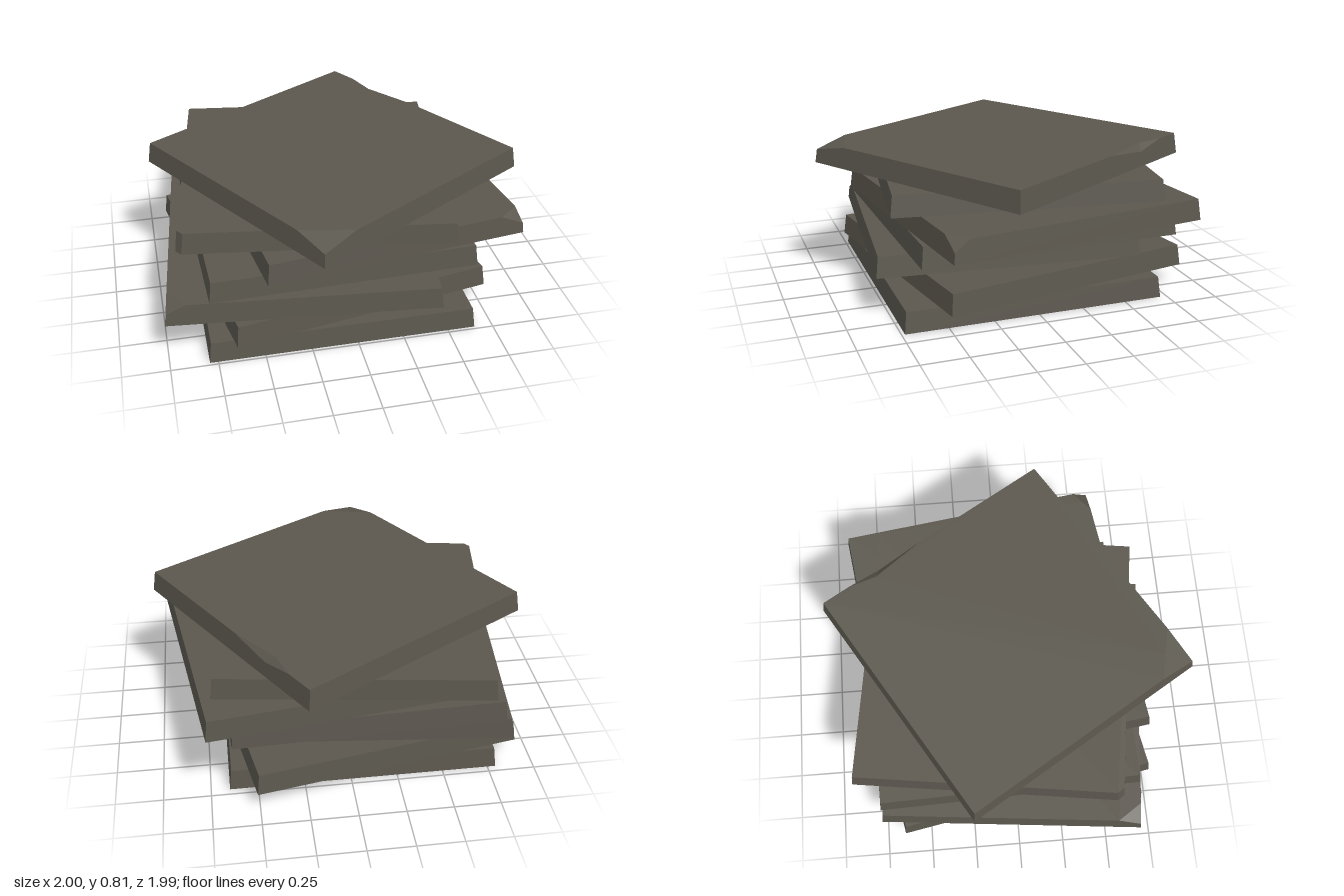
import * as THREE from 'three';

const THICK = 0.1157;
const HALF_BOTTOM = 0.7225;
const HALF_TOP = 0.71;

// Perimeter columns, anticlockwise from above: [u, v, drop, topU, topV].
// drop lowers the outer edge; topU/topV pull the upper edge inwards.
const CORNERS = [[-1, 1], [1, 1], [1, -1], [-1, -1]];

// A chipped front-left corner and a chipped front-right corner
const chipLeft = (u, v, drop) => [[-1, v], [-1, 1, drop, (u - 1) / 2, (v + 1) / 2], [u, 1]];
const chipRight = (u, v, drop) => [[u, 1], [1, 1, drop, (u + 1) / 2, (v + 1) / 2], [1, v]];

const [FL, FR, BR, BL] = CORNERS;

// Slabs from the ground up: centre x, centre z, turn in degrees, outline
const SLABS = [
  { x: -0.072, z: 0.01, turn: 0 },
  { x: -0.07, z: -0.062, turn: 10.4 },
  { x: -0.212, z: 0.03, turn: -5.8, outline: [...chipLeft(-0.86, 0.83, 0.43), FR, BR, BL] },
  { x: -0.072, z: -0.057, turn: 1.8 },
  { x: 0.137, z: -0.057, turn: 8, outline: [FL, ...chipRight(0.83, 0.89, 0.5), BR, BL] },
  { x: -0.1, z: -0.06, turn: -8, outline: [[-1, 0.955], [-0.955, 1], FR, BR, BL] },
  {
    x: 0.005, z: 0.002, turn: 31.3,
    outline: [
      ...chipLeft(-0.7, 0.72, 0.36), FR,
      [1, -0.1], [1, -0.49, 0.3, 0.95, -0.55], [1, -0.77], // notch in the edge
      BR, BL,
    ],
  },
];

// Tapered square slab with optional chips in its upper edge
function slabGeometry(outline) {
  const point = (u, v, t) => {
    const half = THREE.MathUtils.lerp(HALF_BOTTOM, HALF_TOP, t);
    return new THREE.Vector3(u * half, t * THICK, v * half);
  };
  const columns = outline.map(([u, v, drop = 0, topU = u, topV = v]) => [
    point(u, v, 0), point(u, v, 1 - drop), point(topU, topV, 1),
  ]);

  const positions = [];
  const triangle = (a, b, c) => {
    const area = b.clone().sub(a).cross(c.clone().sub(a)).length();
    if (area > 1e-7) for (const p of [a, b, c]) positions.push(p.x, p.y, p.z);
  };

  // Side walls and chip faces
  columns.forEach((a, i) => {
    const b = columns[(i + 1) % columns.length];
    for (let k = 0; k < 2; k++) {
      // split along the diagonal that starts at the undamaged column
      if (a[1].equals(a[2])) {
        triangle(a[k], b[k], b[k + 1]);
        triangle(a[k], b[k + 1], a[k + 1]);
      } else {
        triangle(a[k], b[k], a[k + 1]);
        triangle(b[k], b[k + 1], a[k + 1]);
      }
    }
  });

  // Top and underside
  for (const level of [2, 0]) {
    const ring = columns.map((c) => c[level]);
    const flat = ring.map((p) => new THREE.Vector2(p.x, -p.z));
    for (const [a, b, c] of THREE.ShapeUtils.triangulateShape(flat, [])) {
      if (level === 2) triangle(ring[a], ring[b], ring[c]);
      else triangle(ring[a], ring[c], ring[b]);
    }
  }

  const geometry = new THREE.BufferGeometry();
  geometry.setAttribute('position', new THREE.Float32BufferAttribute(positions, 3));
  geometry.computeVertexNormals();
  return geometry;
}

export function createModel() {
  const model = new THREE.Group();
  model.name = 'slabStack';

  const stone = new THREE.MeshStandardMaterial({ color: 0x5b574e, flatShading: true });
  stone.name = 'dark stone';

  SLABS.forEach(({ x, z, turn, outline = CORNERS }, i) => {
    const slab = new THREE.Mesh(slabGeometry(outline), stone);
    slab.name = `stoneSlab${i + 1}`;
    slab.position.set(x, i * THICK, z);
    slab.rotation.y = THREE.MathUtils.degToRad(turn);
    model.add(slab);
  });

  return model;
}
